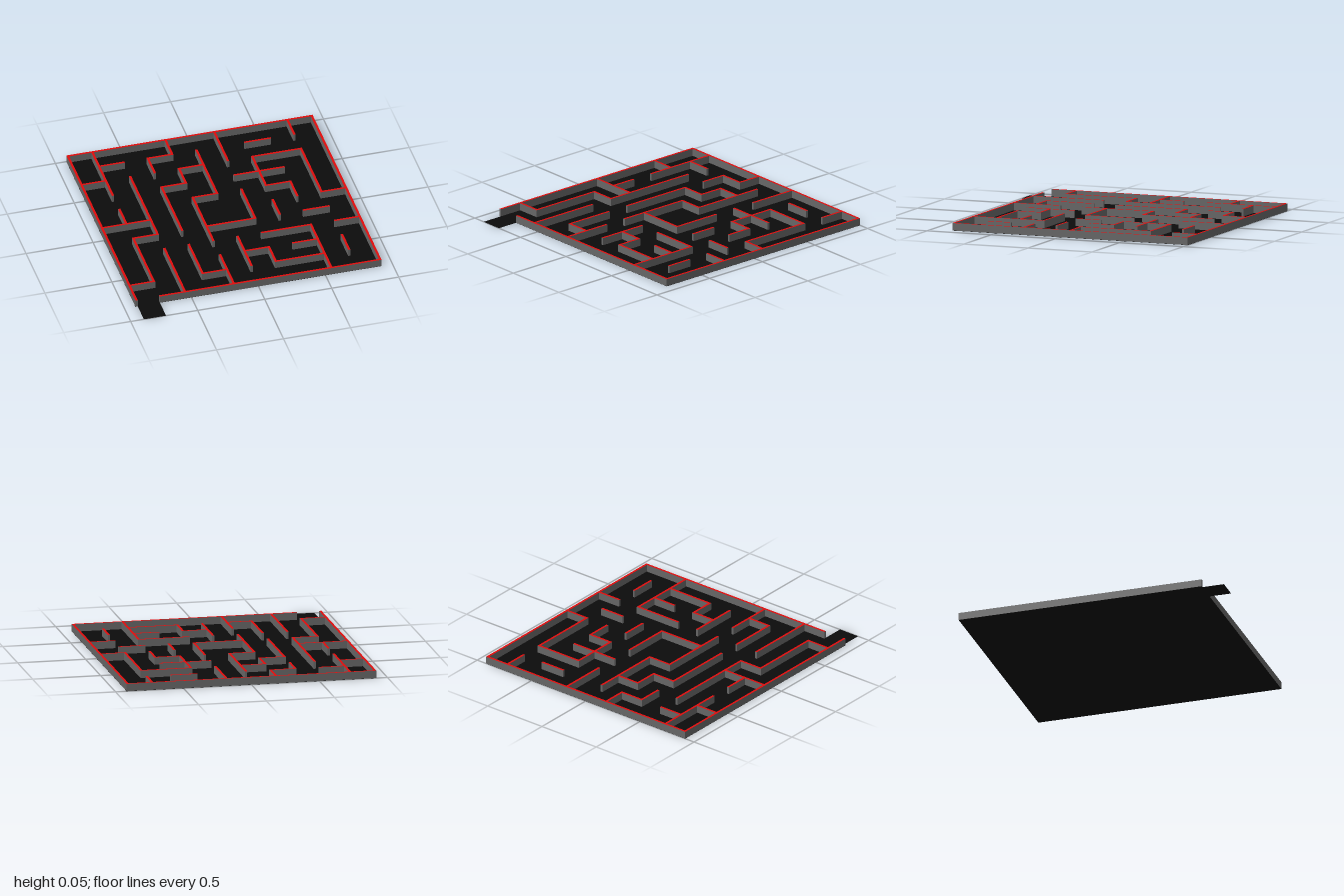
import * as THREE from 'three';

const CELLS = 10, STEP = 0.182, THICK = 0.017, HEIGHT = 0.055, FLOOR = 0.001;
const X0 = -0.91, Z0 = -0.9915;

// Walls running along x: one list of [from, to] cell lines per row line, back to front
const rows = [
  [[0, 10]],
  [[1, 2], [3, 4], [7, 8]],
  [[0, 1], [4, 5], [7, 9]],
  [[3, 4], [6, 8]],
  [[4, 5], [7, 8]],
  [[0, 2], [9, 10]],
  [[1, 2], [4, 6], [8, 9]],
  [[6, 8], [9, 10]],
  [[5, 6], [7, 8]],
  [[0, 1], [3, 4], [6, 8]],
  [[1, 10]],
];

// Walls running along z: one list per column line, from -x to +x
const columns = [
  [[0, 10]],
  [[0, 3], [4, 5], [6, 9]],
  [[2, 6], [7, 10]],
  [[1, 2], [3, 6], [7, 9]],
  [[0, 1], [2, 3], [4, 7], [8, 10]],
  [[1, 4], [7, 9]],
  [[0, 2], [4, 6], [8, 9]],
  [[2, 4], [5, 6]],
  [[4, 5], [7, 10]],
  [[0, 1], [2, 5], [8, 9]],
  [[0, 10]],
];

export function createModel() {
  const group = new THREE.Group();
  const sideMat = new THREE.MeshStandardMaterial({ color: 0x666666 });
  const capMat = new THREE.MeshStandardMaterial({ color: 0xe00c0c });
  const floorMat = new THREE.MeshStandardMaterial({ color: 0x0c0c0c });
  const wallMats = [sideMat, sideMat, capMat, sideMat, sideMat, sideMat]; // red top face only

  const box = (name, x0, x1, y0, y1, z0, z1, material) => {
    const mesh = new THREE.Mesh(new THREE.BoxGeometry(x1 - x0, y1 - y0, z1 - z0), material);
    mesh.position.set((x0 + x1) / 2, (y0 + y1) / 2, (z0 + z1) / 2);
    mesh.name = name;
    return mesh;
  };

  // Floor sheet, and the entrance tile sticking out at the front
  const h = THICK / 2, size = CELLS * STEP;
  const frontEdge = Z0 + size + h;
  group.add(box('floor', X0 - h, X0 + size + h, 0, FLOOR, Z0 - h, frontEdge, floorMat));
  group.add(box('entranceTile', X0 + h, X0 + STEP - h, 0, FLOOR, frontEdge, 1, floorMat));

  // Walls, each reaching half a thickness past its end lines
  const walls = new THREE.Group();
  walls.name = 'walls';
  const wall = (name, i0, i1, j0, j1) => walls.add(box(name,
    X0 + i0 * STEP - h, X0 + i1 * STEP + h, FLOOR, HEIGHT,
    Z0 + j0 * STEP - h, Z0 + j1 * STEP + h, wallMats));
  const kind = (line) => (line % CELLS === 0 ? 'outerWall' : 'innerWall');
  rows.forEach((spans, j) => spans.forEach(([a, b]) => wall(kind(j), a, b, j, j)));
  columns.forEach((spans, i) => spans.forEach(([a, b]) => wall(kind(i), i, i, a, b)));
  group.add(walls);

  return group;
}
